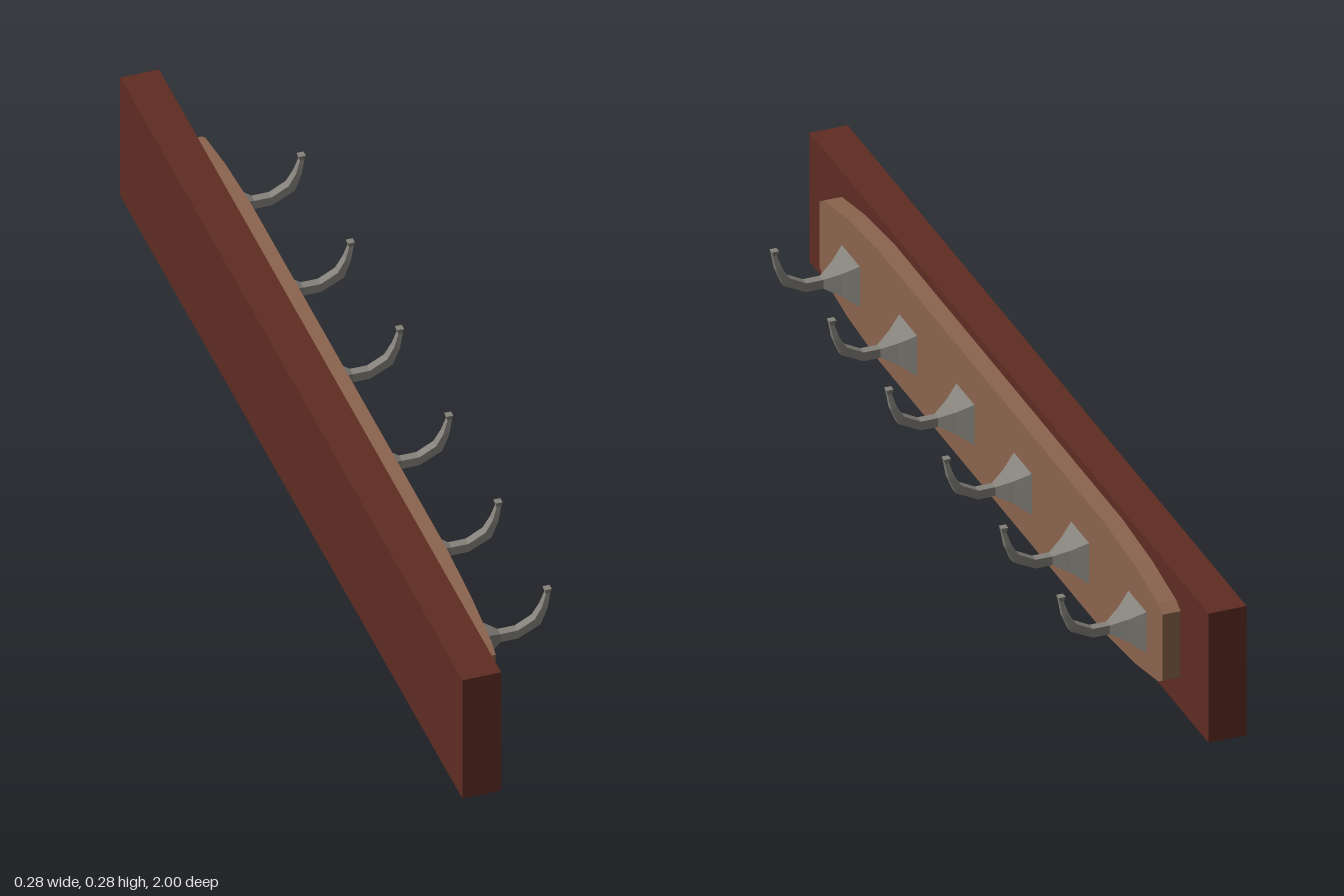
import * as THREE from 'three';

const mat = (name, color) => Object.assign(new THREE.MeshStandardMaterial({ color, flatShading: true }), { name });

// Skin four-sided rings: each is [topX, topY, bottomX, bottomY, halfWidth]
function loft(sections) {
  const rings = sections.map(([tx, ty, bx, by, w]) => [[tx, ty, w], [tx, ty, -w], [bx, by, -w], [bx, by, w]]);
  const pos = [];
  const quad = (a, b, c, d) => pos.push(...a, ...b, ...c, ...a, ...c, ...d);
  for (let i = 0; i < rings.length - 1; i++) {
    for (let k = 0; k < 4; k++) {
      const n = (k + 1) % 4;
      quad(rings[i][k], rings[i + 1][k], rings[i + 1][n], rings[i][n]);
    }
  }
  const first = rings[0], last = rings[rings.length - 1];
  quad(first[0], first[1], first[2], first[3]);
  quad(last[3], last[2], last[1], last[0]);
  const g = new THREE.BufferGeometry();
  g.setAttribute('position', new THREE.Float32BufferAttribute(pos, 3));
  g.computeVertexNormals();
  return g;
}

export function createModel() {
  const group = new THREE.Group();
  const darkWood = mat('dark wood', 0x5e2c22);
  const lightWood = mat('light wood', 0x8c644e);
  const metal = mat('grey metal', 0x84817a);

  // Backing board
  const board = new THREE.Mesh(new THREE.BoxGeometry(0.078, 0.282, 2), darkWood);
  board.name = 'backBoard';
  board.position.set(-0.101, 0.141, 0);
  group.add(board);

  // Raised plaque: one rounded corner mirrored into all four
  const corner = [[0.86, 0.072], [0.838, 0.085], [0.72, 0.107], [0.57, 0.12]];
  const back = [...corner].reverse();
  const outline = [
    ...corner,
    ...back.map(([x, y]) => [-x, y]),
    ...corner.map(([x, y]) => [-x, -y]),
    ...back.map(([x, y]) => [x, -y]),
  ].map(([x, y]) => new THREE.Vector2(x, y));
  const plaqueGeo = new THREE.ExtrudeGeometry(new THREE.Shape(outline), { depth: 0.037, bevelEnabled: false });
  plaqueGeo.rotateY(Math.PI / 2);
  const plaque = new THREE.Mesh(plaqueGeo, lightWood);
  plaque.name = 'plaque';
  plaque.position.set(-0.062, 0.142, 0);
  group.add(plaque);

  // Coat hooks: flared square base, slim neck, upturned arm, small flared tip
  const hookGeo = loft([
    [-0.025, 0.177, -0.025, 0.088, 0.045],
    [0.004, 0.157, 0.004, 0.108, 0.026],
    [0.035, 0.142, 0.035, 0.123, 0.009],
    [0.07, 0.142, 0.07, 0.123, 0.009],
    [0.104, 0.16, 0.116, 0.146, 0.009],
    [0.119, 0.185, 0.13, 0.18, 0.008],
    [0.128, 0.212, 0.137, 0.214, 0.005],
    [0.125, 0.223, 0.139, 0.223, 0.007],
  ]);
  for (let i = 0; i < 6; i++) {
    const hook = new THREE.Mesh(hookGeo, metal);
    hook.name = `hook${i + 1}`;
    hook.position.z = -0.734 + i * 0.2875;
    group.add(hook);
  }
  return group;
}
